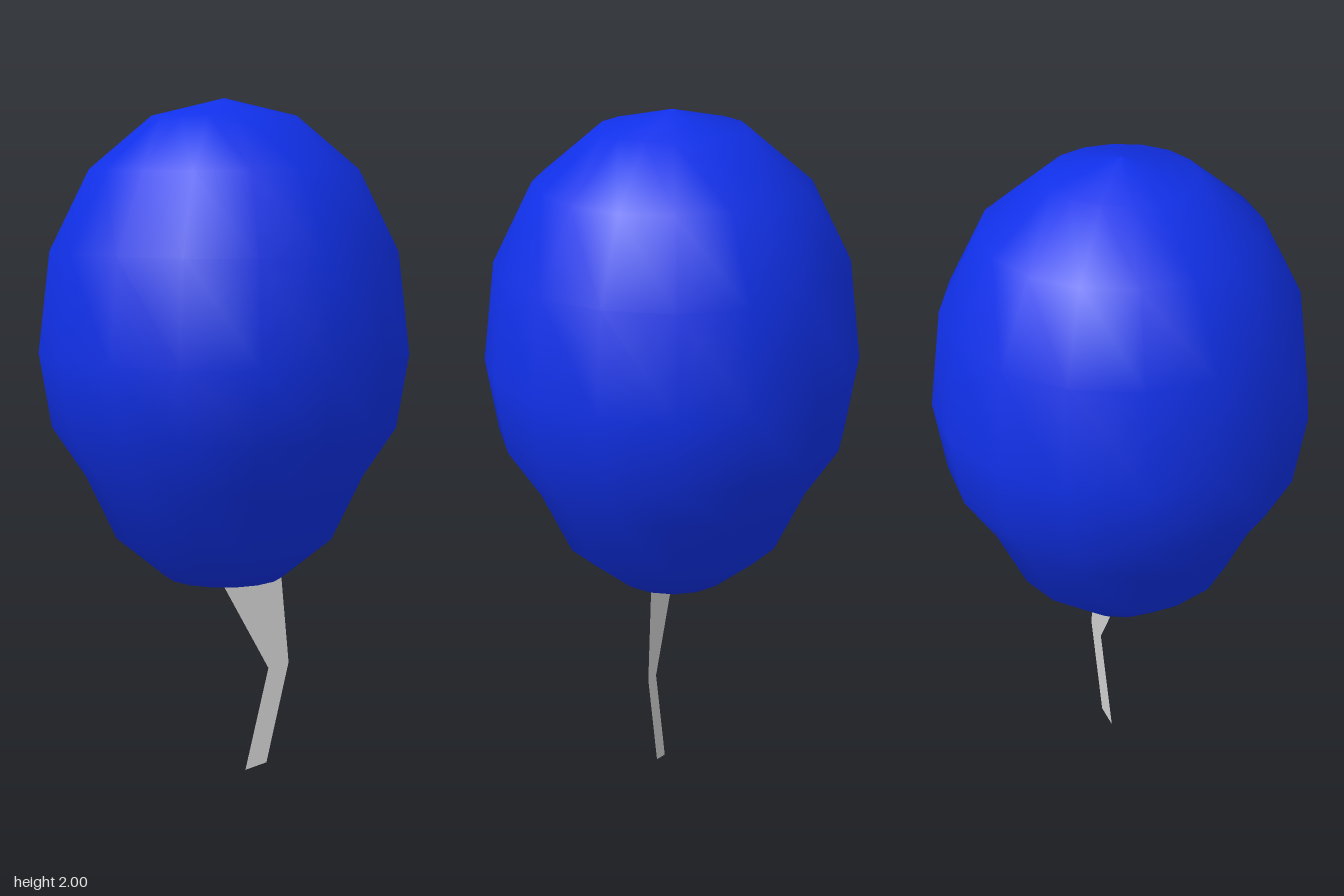
import * as THREE from 'three';

export function createModel() {
  const model = new THREE.Group();

  // Balloon: smooth low-poly lathe, bottom to top, [radius, height]
  const profile = [
    [0, 0.57], [0.175, 0.61], [0.32, 0.73], [0.41, 0.92], [0.505, 1.065],
    [0.54, 1.28], [0.505, 1.57], [0.39, 1.8], [0.21, 1.95], [0, 2],
  ].map(([r, y]) => new THREE.Vector2(r, y));
  const balloon = new THREE.Mesh(
    new THREE.LatheGeometry(profile, 16),
    new THREE.MeshStandardMaterial({ color: 0x1030e8 })
  );
  balloon.name = 'balloon';
  model.add(balloon);

  // String: flat bent ribbon hanging from the underside
  const outline = [
    [0, 0.57], [0.135, 0.315], [0.065, 0.005],
    [0.13, 0.02], [0.197, 0.33], [0.172, 0.61],
  ].map(([x, y]) => new THREE.Vector2(x, y));
  outline[2].y = 0;
  const ribbon = new THREE.Mesh(
    new THREE.ShapeGeometry(new THREE.Shape(outline)),
    new THREE.MeshStandardMaterial({ color: 0xcccccc, side: THREE.DoubleSide })
  );
  ribbon.name = 'string';
  model.add(ribbon);

  return model;
}
